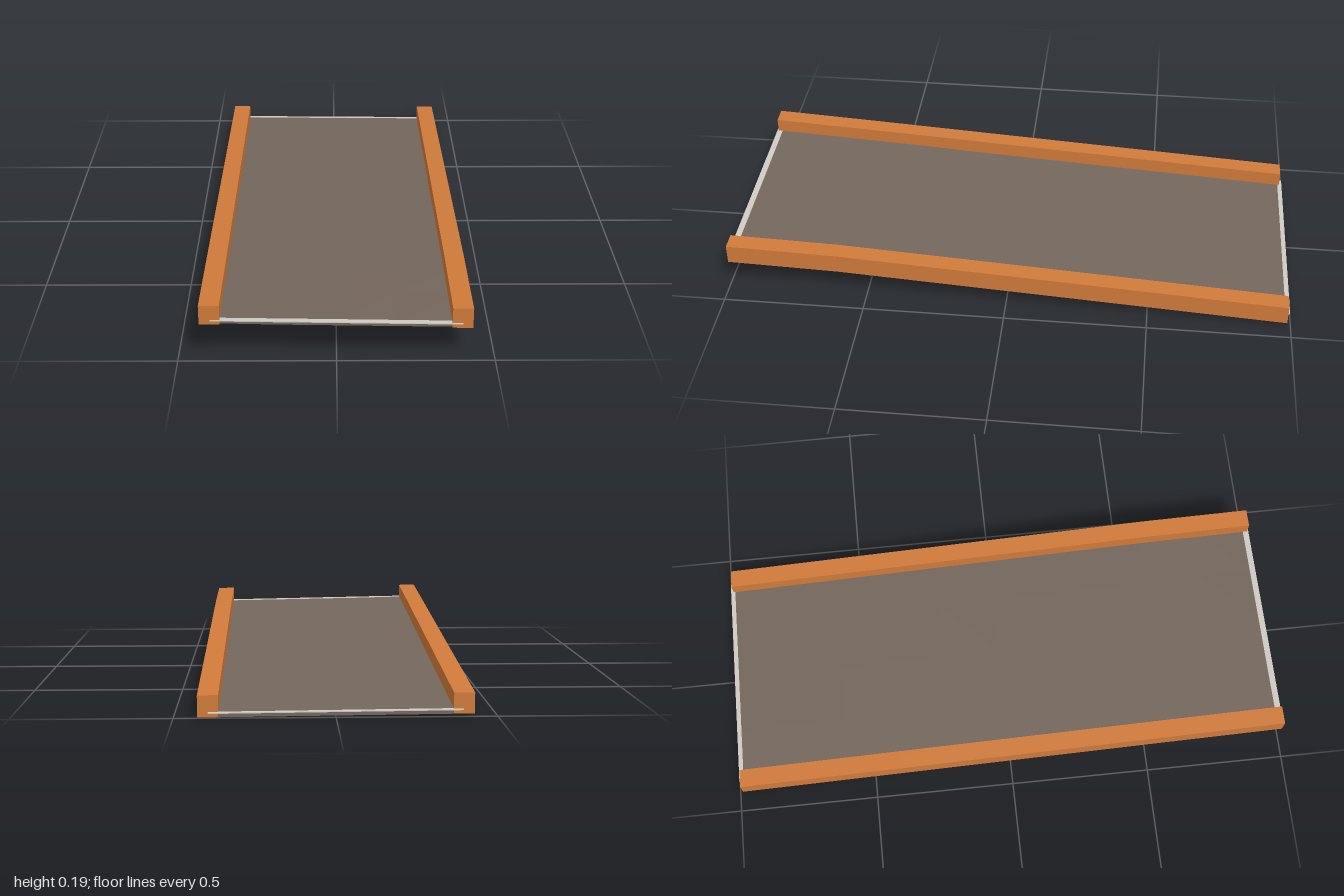
import * as THREE from 'three';

// Underside height of the ramp at its right (-x) and left (+x) edges, front to back
const STATIONS = [
  { z: 0.993, right: 0.131, left: 0.116 },
  { z: 0.6, right: 0.108, left: 0.104 },
  { z: -0.99, right: 0.01, left: 0.003 },
];

function heightAt(x, z) {
  const i = z > STATIONS[1].z ? 0 : 1;
  const a = STATIONS[i], b = STATIONS[i + 1];
  const t = (a.z - z) / (a.z - b.z);
  const right = a.right + (b.right - a.right) * t;
  const left = a.left + (b.left - a.left) * t;
  return right + (left - right) * (x + 0.43) / 0.86;
}

// A box whose vertices follow the sloping, slightly twisted ramp
function slopedBox(name, x0, x1, lift, height, z0, z1, material) {
  const geo = new THREE.BoxGeometry(x1 - x0, height, z1 - z0, 4, 1, 10).toNonIndexed();
  geo.translate((x0 + x1) / 2, lift + height / 2, (z0 + z1) / 2);
  const p = geo.attributes.position;
  for (let i = 0; i < p.count; i++) {
    p.setY(i, p.getY(i) + heightAt(p.getX(i), p.getZ(i)));
  }
  geo.computeVertexNormals();
  const mesh = new THREE.Mesh(geo, material);
  mesh.name = name;
  return mesh;
}

export function createModel() {
  const paint = (name, color) => {
    const m = new THREE.MeshStandardMaterial({ color });
    m.name = name;
    return m;
  };
  const orange = paint('orange wood', 0xd07a3a);
  const brown = paint('grey brown deck', 0x74665c);
  const pale = paint('pale edging', 0xcfcac2);

  const ramp = new THREE.Group();
  ramp.name = 'ramp';

  // Deck, running under the inner part of both rails
  const deck = slopedBox('deck', -0.395, 0.395, -0.001, 0.016, -0.987, 0.985, brown);
  const p = deck.geometry.attributes.position;
  // The right front edge of the deck is let into the rail
  for (let i = 0; i < p.count; i++) {
    if (p.getX(i) < -0.3 && p.getZ(i) > 0.3) p.setY(i, p.getY(i) + 0.002);
  }
  deck.geometry.computeVertexNormals();
  ramp.add(deck);

  // Side rails
  ramp.add(slopedBox('rightRail', -0.43, -0.365, 0, 0.066, -0.99, 0.993, orange));
  ramp.add(slopedBox('leftRail', 0.362, 0.427, 0, 0.069, -0.99, 0.993, orange));

  // Thin edging across both ends of the deck
  ramp.add(slopedBox('frontEdging', -0.395, 0.395, 0.014, 0.003, 0.977, 0.998, pale));
  ramp.add(slopedBox('backEdging', -0.395, 0.395, 0.013, 0.003, -1, -0.984, pale));

  return ramp;
}
